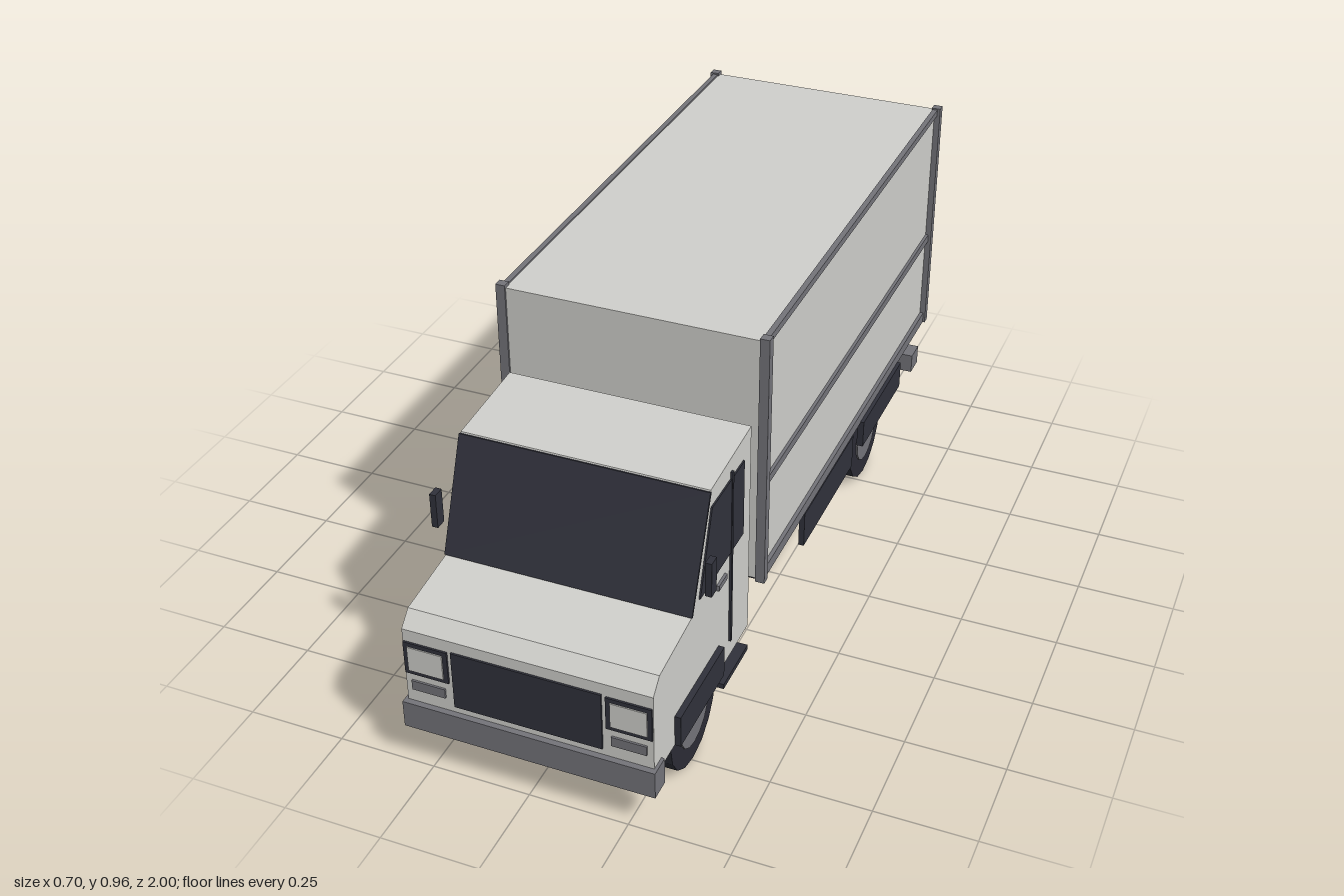
import * as THREE from 'three';

export function createModel() {
  const model = new THREE.Group();
  model.name = 'boxTruck';
  const mat = (name, color) => {
    const m = new THREE.MeshStandardMaterial({ color, flatShading: true });
    m.name = name;
    return m;
  };
  const paint = mat('lightPaint', 0xcfcfcb);
  const trim = mat('greyTrim', 0x737379);
  const dark = mat('darkTrim', 0x30313b);
  const tyre = mat('tyreRubber', 0x2b2c35);

  const add = (name, geo, m) => {
    const mesh = new THREE.Mesh(geo, m);
    mesh.name = name;
    model.add(mesh);
    return mesh;
  };
  // Box given by its limits on each axis
  const box = (name, m, x0, x1, y0, y1, z0, z1) => {
    const g = new THREE.BoxGeometry(x1 - x0, y1 - y0, z1 - z0);
    g.translate((x0 + x1) / 2, (y0 + y1) / 2, (z0 + z1) / 2);
    return add(name, g, m);
  };
  // The same box on both sides
  const pair = (name, m, x0, x1, ...rest) => {
    box(name + 'Left', m, x0, x1, ...rest);
    box(name + 'Right', m, -x1, -x0, ...rest);
  };
  // Side profile of [z, y] points, extruded from x0 to x1
  const profile = (name, m, pts, x0, x1) => {
    const shape = new THREE.Shape(pts.map(([z, y]) => new THREE.Vector2(z, y)));
    const g = new THREE.ExtrudeGeometry(shape, { depth: x1 - x0, bevelEnabled: false });
    g.rotateY(-Math.PI / 2).translate(x1, 0, 0);
    return add(name, g, m);
  };

  // Cab
  profile('cab', paint, [[0.405, 0.15], [0.985, 0.15], [0.985, 0.385], [0.95, 0.42],
    [0.765, 0.442], [0.655, 0.718], [0.405, 0.735]], -0.31, 0.31);
  profile('windscreen', dark, [[0.764, 0.442], [0.77, 0.444], [0.662, 0.716], [0.655, 0.714]], -0.312, 0.312);
  const windowShape = [[0.455, 0.465], [0.725, 0.465], [0.655, 0.672], [0.455, 0.672]];
  profile('sideWindowLeft', dark, windowShape, 0.309, 0.314);
  profile('sideWindowRight', dark, windowShape, -0.314, -0.309);
  pair('doorSeam', dark, 0.309, 0.316, 0.2, 0.69, 0.527, 0.536);
  pair('doorHandle', trim, 0.309, 0.317, 0.41, 0.425, 0.565, 0.617);
  pair('mirror', dark, 0.335, 0.351, 0.5, 0.592, 0.72, 0.75);
  pair('frontFender', dark, 0.305, 0.325, 0.15, 0.235, 0.6, 0.868);
  pair('step', dark, 0.24, 0.325, 0.107, 0.121, 0.443, 0.602);

  // Cab front
  box('grille', dark, -0.186, 0.186, 0.197, 0.355, 0.984, 0.99);
  pair('headlightFrame', dark, 0.196, 0.308, 0.262, 0.352, 0.984, 0.99);
  pair('headlight', paint, 0.208, 0.297, 0.273, 0.341, 0.988, 0.993);
  pair('turnSignal', trim, 0.208, 0.294, 0.215, 0.241, 0.984, 0.99);
  box('frontBumper', trim, -0.318, 0.318, 0.105, 0.178, 0.945, 1);

  // Cargo box
  box('cargoBox', paint, -0.328, 0.328, 0.282, 0.952, -0.988, 0.382);
  box('cargoFloor', dark, -0.326, 0.326, 0.276, 0.283, -0.985, 0.378);
  pair('topRail', trim, 0.322, 0.336, 0.938, 0.956, -0.99, 0.385);
  pair('middleRail', trim, 0.322, 0.336, 0.544, 0.566, -0.985, 0.38);
  pair('bottomRail', trim, 0.322, 0.338, 0.275, 0.306, -0.99, 0.385);
  pair('frontPost', trim, 0.32, 0.344, 0.275, 0.96, 0.364, 0.387);
  pair('rearPost', trim, 0.32, 0.344, 0.275, 0.96, -0.995, -0.972);

  // Roller door at the back
  for (let i = 0; i < 9; i++) {
    const y = 0.325 + i * 0.068;
    box('doorSlatLine', dark, -0.28, 0.28, y - 0.004, y + 0.004, -0.992, -0.987);
  }
  pair('doorTrack', trim, 0.28, 0.294, 0.3, 0.905, -0.996, -0.987);

  // Chassis and running gear
  box('chassis', dark, -0.115, 0.115, 0.147, 0.226, -0.97, 0.86);
  pair('sideSkirt', dark, 0.314, 0.329, 0.15, 0.25, -0.35, 0.047);
  pair('rearFender', dark, 0.33, 0.348, 0.2, 0.278, -0.72, -0.38);
  box('fuelTank', trim, -0.328, -0.18, 0.122, 0.238, 0.02, 0.288);
  box('rearBumper', trim, -0.325, 0.325, 0.123, 0.178, -0.99, -0.928);
  pair('tailLight', trim, 0.225, 0.285, 0.163, 0.19, -1, -0.985);

  // Wheels, wider at the back
  const disc = (name, m, r, x0, x1, z) => {
    const g = new THREE.CylinderGeometry(r, r, Math.abs(x1 - x0), 16);
    g.rotateZ(Math.PI / 2).translate((x0 + x1) / 2, 0.135, z);
    add(name, g, m);
  };
  for (const [end, z, inner] of [['front', 0.74, 0.226], ['rear', -0.55, 0.16]]) {
    for (const s of [1, -1]) {
      disc(end + 'Tyre', tyre, 0.135, s * inner, s * 0.303, z);
      disc(end + 'Hub', trim, 0.083, s * 0.29, s * 0.307, z);
    }
    disc(end + 'Axle', dark, 0.025, -0.24, 0.24, z);
  }
  return model;
}
